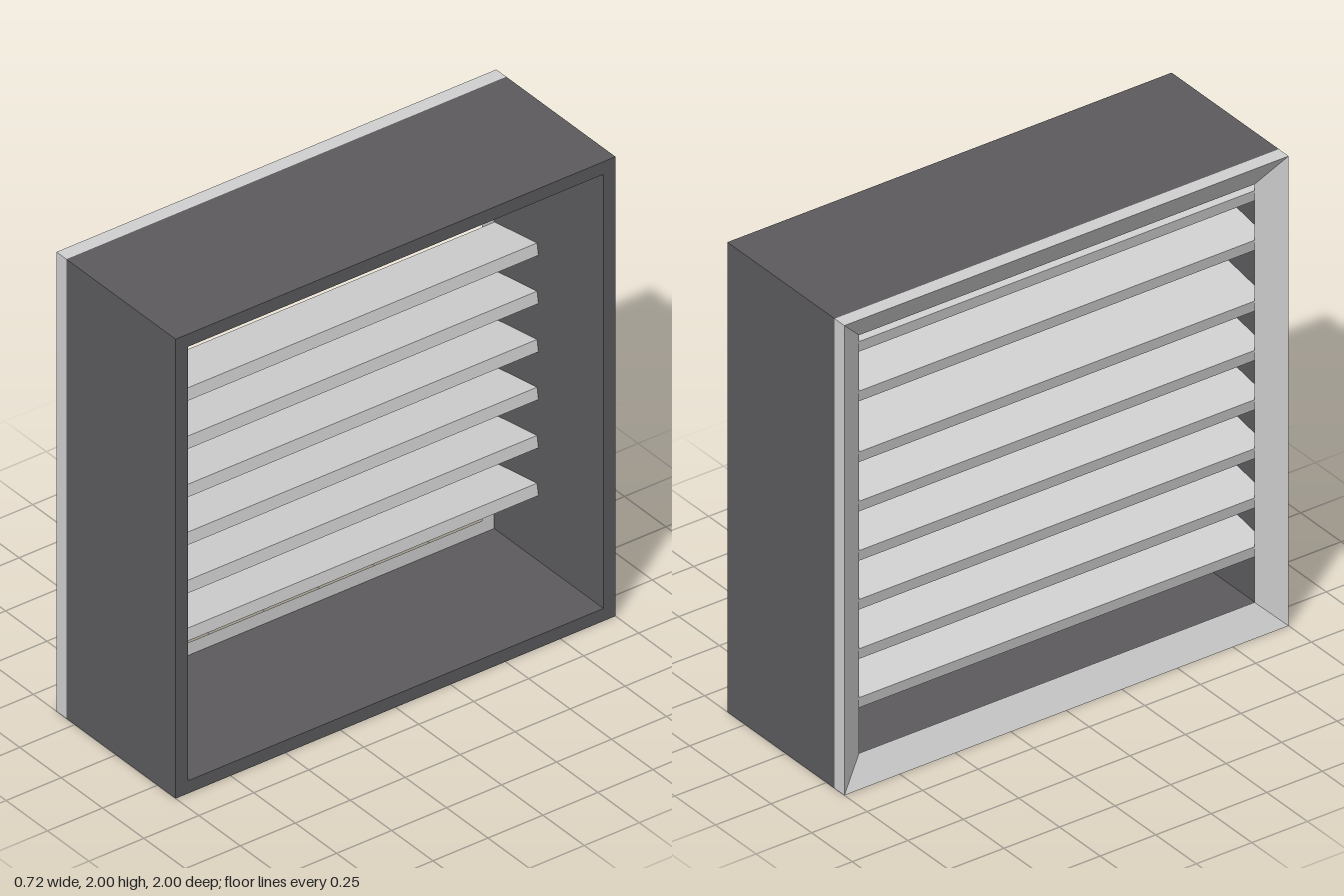
import * as THREE from 'three';

export function createModel() {
  const model = new THREE.Group();
  const darkGrey = new THREE.MeshStandardMaterial({ color: 0x5c5a5d });
  darkGrey.name = 'darkGrey';
  const lightGrey = new THREE.MeshStandardMaterial({ color: 0xd0d0d0 });
  lightGrey.name = 'lightGrey';

  const add = (name, geometry, material) => {
    const mesh = new THREE.Mesh(geometry, material);
    mesh.name = name;
    model.add(mesh);
    return mesh;
  };
  const square = (ShapeType, h) =>
    new ShapeType([[-h, -h], [h, -h], [h, h], [-h, h]].map(([x, y]) => new THREE.Vector2(x, y)));

  // Deep square casing, open at both ends
  const outline = square(THREE.Shape, 1);
  outline.holes.push(square(THREE.Path, 0.945));
  const casing = new THREE.ExtrudeGeometry(outline, { depth: 0.66, bevelEnabled: false });
  casing.rotateY(Math.PI / 2).translate(-0.3, 1, 0);
  add('casing', casing, darkGrey);

  // Mitred outer frame: a triangular section swept round four sides
  const profile = [[1, 0], [1, 0.06], [0.89, 0], [1, 0]]
    .map(([r, y]) => new THREE.Vector2(r * Math.SQRT2, y));
  const frame = new THREE.LatheGeometry(profile, 4).toNonIndexed();
  frame.rotateY(Math.PI / 4).rotateZ(Math.PI / 2).translate(-0.3, 1, 0);
  frame.computeVertexNormals();
  add('outerFrame', frame, lightGrey);

  // Slats sloping down towards the outer frame
  const slat = new THREE.BoxGeometry(0.26, 0.05, 1.89).rotateZ(0.17);
  for (const y of [0.342, 0.55, 0.76, 0.968, 1.178, 1.388, 1.647, 1.858]) {
    add('slat', slat, lightGrey).position.set(-0.165, y, 0);
  }
  return model;
}
